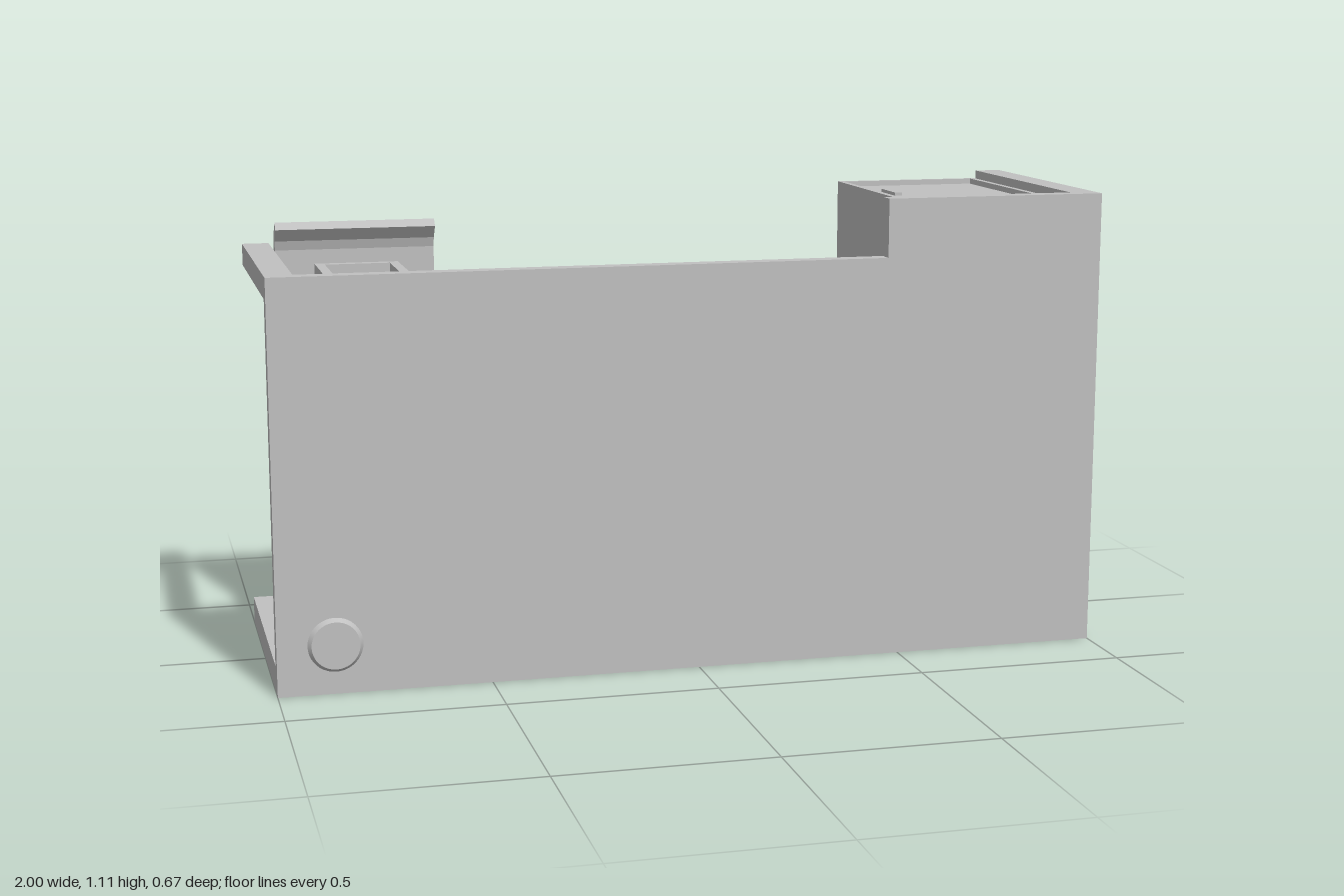
import * as THREE from 'three';

const grey = new THREE.MeshStandardMaterial({ color: 0xc0c0c0, side: THREE.DoubleSide });
grey.name = 'grey';

export function createModel() {
  const model = new THREE.Group();
  model.name = 'desk';

  const add = (name, geo, parent = model) => {
    const m = new THREE.Mesh(geo, grey);
    m.name = name;
    parent.add(m);
    return m;
  };
  // Box from min/max ranges; the last "drop" faces (back, then front) are left open
  const box = ([x0, x1], [y0, y1], [z0, z1], drop = 0) => {
    const g = new THREE.BoxGeometry(x1 - x0, y1 - y0, z1 - z0);
    g.translate((x0 + x1) / 2, (y0 + y1) / 2, (z0 + z1) / 2);
    if (drop) {
      g.setIndex(Array.from(g.index.array).slice(0, 36 - 6 * drop));
      g.clearGroups();
    }
    return g;
  };
  const shapeOf = (pts) => new THREE.Shape(pts.map(([a, b]) => new THREE.Vector2(a, b)));
  const extrude = (shape, depth) => new THREE.ExtrudeGeometry(shape, { depth, bevelEnabled: false });
  // Side profile given as [z, y], swept along x
  const sweepX = (pts, x0, x1) =>
    extrude(shapeOf(pts.map(([z, y]) => [-z, y])), x1 - x0).rotateY(Math.PI / 2).translate(x0, 0, 0);
  // Flat rectangular ring lying in xz
  const ring = ([x0, x1], [z0, z1], [hx0, hx1], [hz0, hz1], y0, y1) => {
    const rect = (a, b, c, d) => [[a, -d], [b, -d], [b, -c], [a, -c]];
    const s = shapeOf(rect(x0, x1, z0, z1));
    s.holes.push(new THREE.Path(rect(hx0, hx1, hz0, hz1).map(([a, b]) => new THREE.Vector2(a, b))));
    return extrude(s, y1 - y0).rotateX(-Math.PI / 2).translate(0, y0, 0);
  };

  // Front panel: a shallow shell, open at the back
  const outline = shapeOf([[-1, 0], [1, 0], [1, 1.11], [0.46, 1.11], [0.46, 0.97], [-1, 0.97]]);
  const shell = extrude(outline, 0.04).translate(0, 0, 0.285);
  const backCorners = 12; // four triangles of the rear lid
  for (const key of ['position', 'normal', 'uv']) {
    const a = shell.attributes[key];
    shell.setAttribute(key, new THREE.BufferAttribute(a.array.slice(backCorners * a.itemSize), a.itemSize));
  }
  shell.clearGroups();
  add('frontPanel', shell);

  // Round button on the front
  add('roundButton', new THREE.CylinderGeometry(0.056, 0.065, 0.012, 40)
    .rotateX(Math.PI / 2).translate(-0.865, 0.117, 0.33));

  // Hollow rails running back from the corners
  for (const [name, x, y] of [
    ['lowerRightRail', [-1, -0.935], [0, 0.065]],
    ['lowerLeftRail', [0.935, 1], [0, 0.065]],
    ['upperRightRail', [-1, -0.935], [0.917, 0.97]],
    ['upperLeftRail', [0.935, 1], [1.06, 1.11]],
  ]) add(name, box(x, y, [-0.335, 0.285], 2));

  // Cabinet, open at the back, with a rimmed top
  const cabinet = new THREE.Group();
  cabinet.name = 'cabinet';
  model.add(cabinet);
  add('cabinetBody', box([0.55, 0.93], [0.7, 1.065], [-0.335, 0.285], 1), cabinet);
  add('cabinetRim', ring([0.55, 0.93], [-0.335, 0.285], [0.565, 0.915], [-0.322, 0.27], 1.065, 1.09), cabinet);
  add('largeLid', box([0.567, 0.913], [1.065, 1.077], [-0.32, 0.14]), cabinet);
  add('smallLid', box([0.567, 0.913], [1.065, 1.077], [0.147, 0.268]), cabinet);
  add('smallLidHandle', ring([0.685, 0.785], [0.2, 0.222], [0.693, 0.777], [0.206, 0.216], 1.077, 1.085), cabinet);
  add('largeLidHandle', box([0.61, 0.628], [1.077, 1.085], [-0.16, -0.056]), cabinet);

  // Hanging back board with its top edge bent forward
  add('backBoard', sweepX([
    [-0.245, 0.145], [-0.215, 0.145], [-0.215, 0.965], [-0.208, 0.988], [-0.185, 1.018],
    [-0.2, 1.035], [-0.236, 1.005], [-0.245, 0.975],
  ], -0.93, -0.54));

  // Small bin with a recessed top and chamfered front edge
  const bin = new THREE.Group();
  bin.name = 'bin';
  model.add(bin);
  add('binBody', sweepX([
    [-0.215, 0.51], [0.24, 0.51], [0.24, 0.9], [0.228, 0.918], [0.205, 0.93], [0.205, 0.905], [-0.215, 0.905],
  ], -0.835, -0.63), bin);
  add('binRim', ring([-0.835, -0.63], [-0.215, 0.205], [-0.812, -0.653], [-0.19, 0.185], 0.905, 0.93), bin);

  return model;
}
